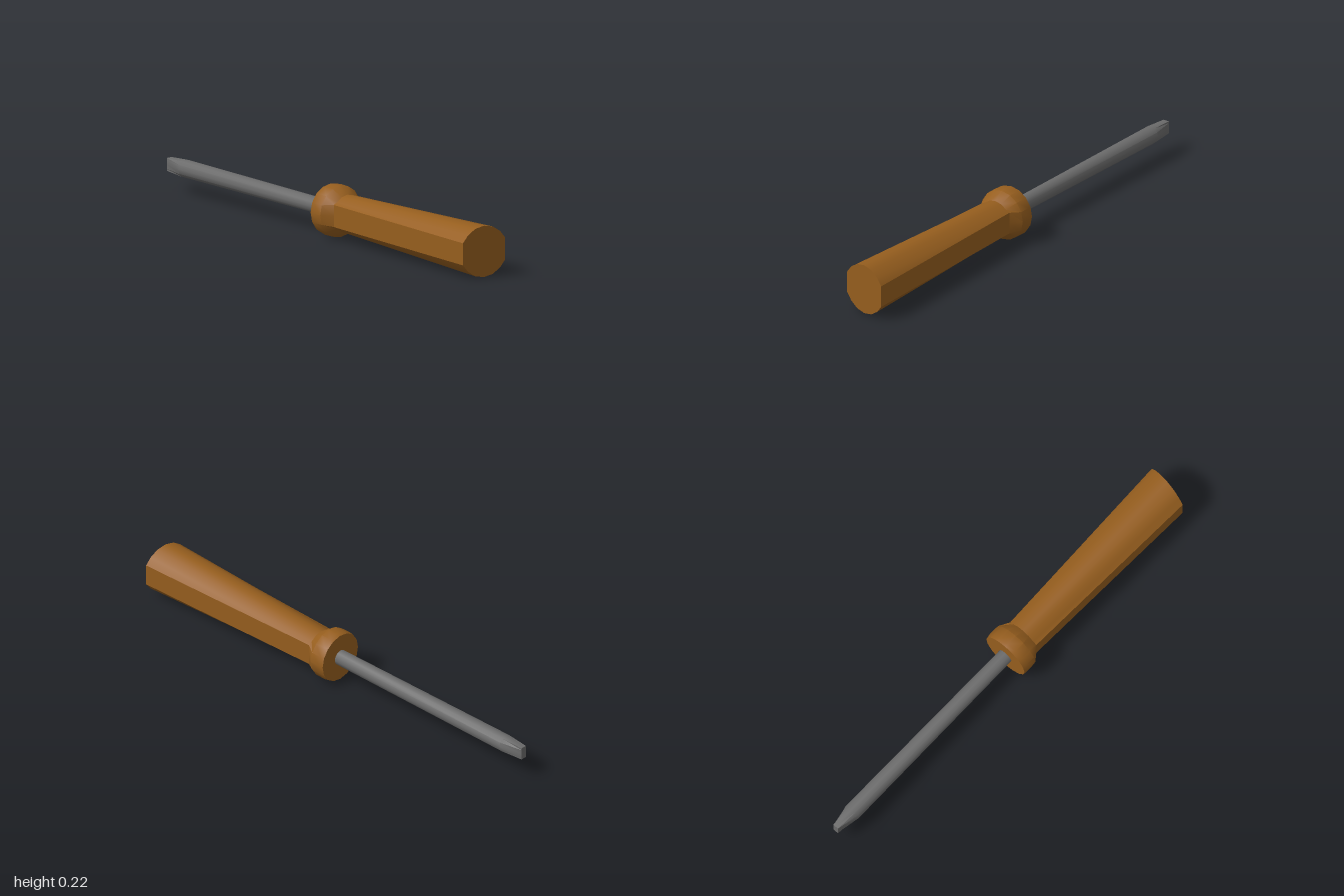
import * as THREE from 'three';
import { toCreasedNormals } from 'three/addons/utils/BufferGeometryUtils.js';

const AXIS_Y = 0.11;

// Skin closed rings of points running along +x, with flat caps at both ends
function loft(rings, crease) {
  const n = rings[0].length;
  const pos = [];
  const tri = (a, b, c) => pos.push(...a.toArray(), ...b.toArray(), ...c.toArray());
  const middle = (ring) => ring.reduce((s, p) => s.add(p), new THREE.Vector3()).divideScalar(n);
  const first = rings[0], last = rings[rings.length - 1];
  const c0 = middle(first), c1 = middle(last);
  for (let j = 0; j < n; j++) {
    const k = (j + 1) % n;
    tri(c0, first[k], first[j]);
    tri(c1, last[j], last[k]);
    for (let i = 0; i < rings.length - 1; i++) {
      const a = rings[i], b = rings[i + 1];
      tri(a[j], a[k], b[k]);
      tri(a[j], b[k], b[j]);
    }
  }
  const geometry = new THREE.BufferGeometry();
  geometry.setAttribute('position', new THREE.Float32BufferAttribute(pos, 3));
  return toCreasedNormals(geometry, crease);
}

// Round ring whose height and depth are limited; slant leans the ring along x
function ring(x, radius, sides, maxY = radius, maxZ = radius, slant = 0) {
  return Array.from({ length: sides }, (_, i) => {
    const a = (i / sides) * Math.PI * 2;
    const y = THREE.MathUtils.clamp(Math.cos(a) * radius, -maxY, maxY);
    const z = THREE.MathUtils.clamp(Math.sin(a) * radius, -maxZ, maxZ);
    return new THREE.Vector3(x + slant * z, y, z);
  });
}

// Ring with a flat panel on the front and back
function panelRing(x, radius, slant = 0) {
  const points = ring(x, radius, 16, radius, radius * Math.cos(Math.PI / 8), slant);
  // the panels keep nearly the same height along the grip
  for (const i of [3, 5, 11, 13]) points[i].y = Math.sign(points[i].y) * 0.046;
  return points;
}

export function createModel() {
  const model = new THREE.Group();
  const add = (name, geometry, color) => {
    const mesh = new THREE.Mesh(geometry, new THREE.MeshStandardMaterial({ color }));
    mesh.name = name;
    mesh.position.y = AXIS_Y;
    model.add(mesh);
  };

  // Handle: collar, narrow neck, widening grip with a slightly slanted butt
  add('handle', loft([
    ring(0.015, 0.105, 16),
    ring(0.03, 0.108, 16),
    ring(0.078, 0.107, 16),
    panelRing(0.122, 0.078),
    panelRing(0.983, 0.107, -0.15),
  ], 0.56), 0x965e1e);

  // Shaft, tapering to a flat blade
  add('shaftAndBlade', loft([
    ring(-1, 0.037, 12, 0.027, 0.013),
    ring(-0.9, 0.037, 12),
    ring(0.03, 0.033, 12),
  ], 0.56), 0x6b6b6b);

  return model;
}
